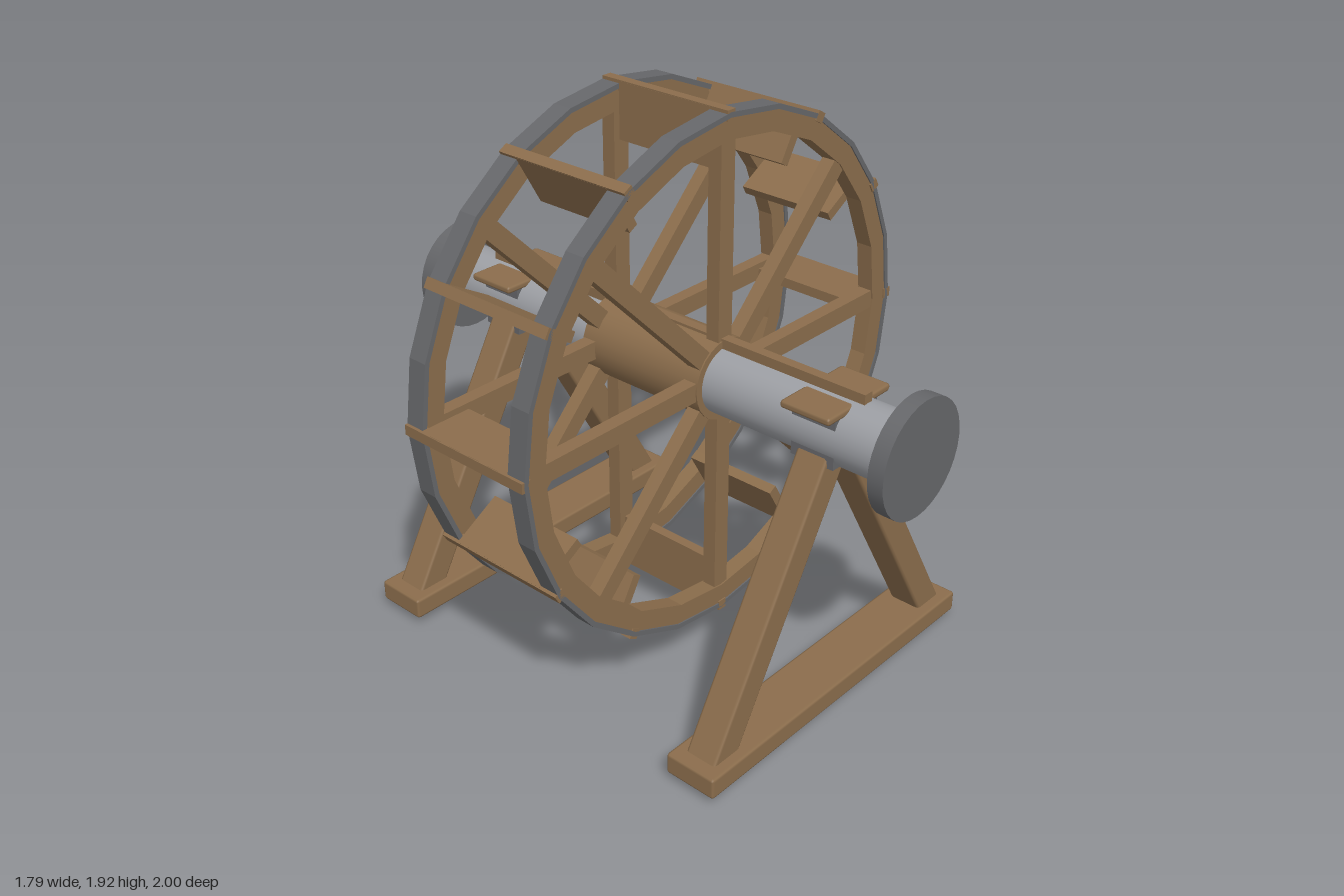
import * as THREE from 'three';
import { RoundedBoxGeometry } from 'three/addons/geometries/RoundedBoxGeometry.js';

const AXLE_Y = 1.03;

export function createModel() {
  const model = new THREE.Group();
  model.name = 'waterWheel';

  const mat = (name, color) => {
    const m = new THREE.MeshStandardMaterial({ color });
    m.name = name;
    return m;
  };
  const wood = mat('wood', 0x8b6d4c);
  const iron = mat('darkIron', 0x66676a);
  const steel = mat('axleSteel', 0x9c9ea3);

  const add = (parent, name, geometry, material, x = 0, y = 0, z = 0) => {
    const mesh = new THREE.Mesh(geometry, material);
    mesh.name = name;
    mesh.position.set(x, y, z);
    parent.add(mesh);
    return mesh;
  };
  const box = (w, h, d) => new THREE.BoxGeometry(w, h, d);
  const beam = (w, h, d) => new RoundedBoxGeometry(w, h, d, 1, 0.01);
  const cylinderZ = (r, length, sides) =>
    new THREE.CylinderGeometry(r, r, length, sides).rotateX(Math.PI / 2);

  // Faceted ring around z, centred on its own depth
  const ring = (outer, inner, depth, sides = 24) => {
    const points = (r) => Array.from({ length: sides }, (_, i) => {
      const a = (i / sides) * Math.PI * 2;
      return new THREE.Vector2(r * Math.cos(a), r * Math.sin(a));
    });
    const shape = new THREE.Shape(points(outer));
    shape.holes.push(new THREE.Path(points(inner)));
    return new THREE.ExtrudeGeometry(shape, { depth, bevelEnabled: false })
      .translate(0, 0, -depth / 2);
  };

  // Wheel, turning about the axle
  const wheel = new THREE.Group();
  wheel.name = 'wheel';
  wheel.position.y = AXLE_Y;
  model.add(wheel);

  add(wheel, 'hub', cylinderZ(0.14, 0.5, 24), wood);
  for (const side of [-1, 1]) {
    const z = side * 0.22;
    add(wheel, 'rim', ring(0.875, 0.8, 0.06), wood, 0, 0, z);
    add(wheel, 'rimBand', ring(0.887, 0.87, 0.07), iron, 0, 0, z);
    for (let i = 0; i < 8; i++) {
      const spoke = add(wheel, 'spoke', box(0.71, 0.064, 0.05).translate(0.465, 0, 0), wood, 0, 0, z);
      spoke.rotation.z = (i * Math.PI) / 4;
    }
  }

  // Paddles, each with a thin bar running across both rims
  for (let i = 0; i < 12; i++) {
    const paddle = new THREE.Group();
    paddle.name = 'paddle';
    paddle.rotation.z = (i * Math.PI) / 6;
    add(paddle, 'paddleBoard', box(0.19, 0.036, 0.37), wood, 0.797, 0, 0);
    add(paddle, 'paddleBar', box(0.035, 0.035, 0.51), wood, 0.878, 0, 0);
    wheel.add(paddle);
  }

  // Axle with end flanges and bolts
  const axle = new THREE.Group();
  axle.name = 'axle';
  axle.position.y = AXLE_Y;
  model.add(axle);
  add(axle, 'shaft', cylinderZ(0.115, 1.94, 32), steel);
  add(axle, 'keyBar', box(0.036, 0.04, 1.6), wood, 0, 0.127, 0);
  for (const side of [-1, 1]) {
    add(axle, 'flange', cylinderZ(0.197, 0.055, 32), iron, 0, 0, side * 0.9725);
    for (let i = 0; i < 4; i++) {
      const a = Math.PI / 4 + (i * Math.PI) / 2;
      add(axle, 'bolt', cylinderZ(0.018, 0.03, 8), iron,
        0.145 * Math.cos(a), 0.145 * Math.sin(a), side * 0.942);
    }
  }

  // Trestles carrying the axle at both ends
  for (const side of [-1, 1]) {
    const trestle = new THREE.Group();
    trestle.name = 'trestle';
    trestle.position.z = side * 0.68;
    add(trestle, 'footBeam', beam(1.31, 0.075, 0.19), wood, 0, 0.068, 0);
    add(trestle, 'bearingBlock', box(0.21, 0.18, 0.16), iron, 0, 1.03, 0);
    add(trestle, 'bearingCap', beam(0.31, 0.026, 0.185), wood, 0, 1.127, 0);
    for (const s of [-1, 1]) {
      const leg = add(trestle, 'leg', beam(0.104, 1.08, 0.115), wood, s * 0.32, 0.4937, 0);
      leg.rotation.z = (s * Math.PI) / 6;
    }
    model.add(trestle);
  }

  return model;
}
